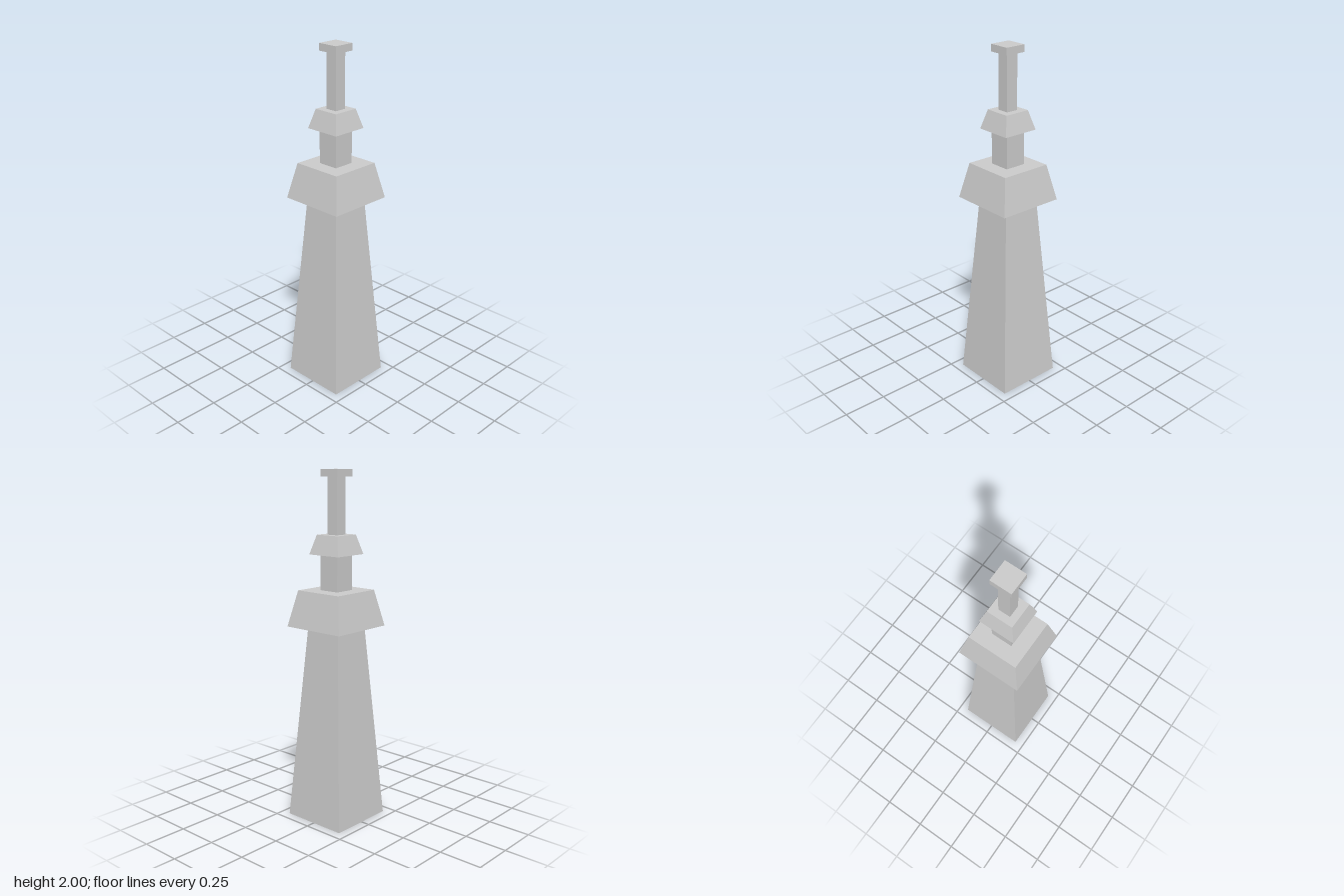
import * as THREE from 'three';

export function createModel() {
  const group = new THREE.Group();
  const material = new THREE.MeshStandardMaterial({ color: 0xcccccc, flatShading: true });

  // Square frustum standing between two heights, given its bottom and top widths
  function addTier(name, bottomWidth, topWidth, y0, y1, x = 0, z = 0) {
    const geometry = new THREE.CylinderGeometry(topWidth * Math.SQRT1_2, bottomWidth * Math.SQRT1_2, y1 - y0, 4);
    geometry.rotateY(Math.PI / 4);
    const mesh = new THREE.Mesh(geometry, material);
    mesh.name = name;
    mesh.position.set(x, (y0 + y1) / 2, z);
    group.add(mesh);
  }

  // Tapering tower body and its overhanging gallery
  addTier('towerBody', 0.394, 0.224, 0, 1.135);
  addTier('gallery', 0.388, 0.3, 1.135, 1.34, 0.001, -0.001);

  // Narrow neck with a small flared roof
  addTier('neck', 0.124, 0.124, 1.34, 1.54);
  addTier('flaredRoof', 0.212, 0.152, 1.54, 1.648);

  // Mast and its square cap
  addTier('mast', 0.07, 0.07, 1.648, 1.96);
  addTier('mastCap', 0.123, 0.123, 1.96, 2);

  return group;
}
